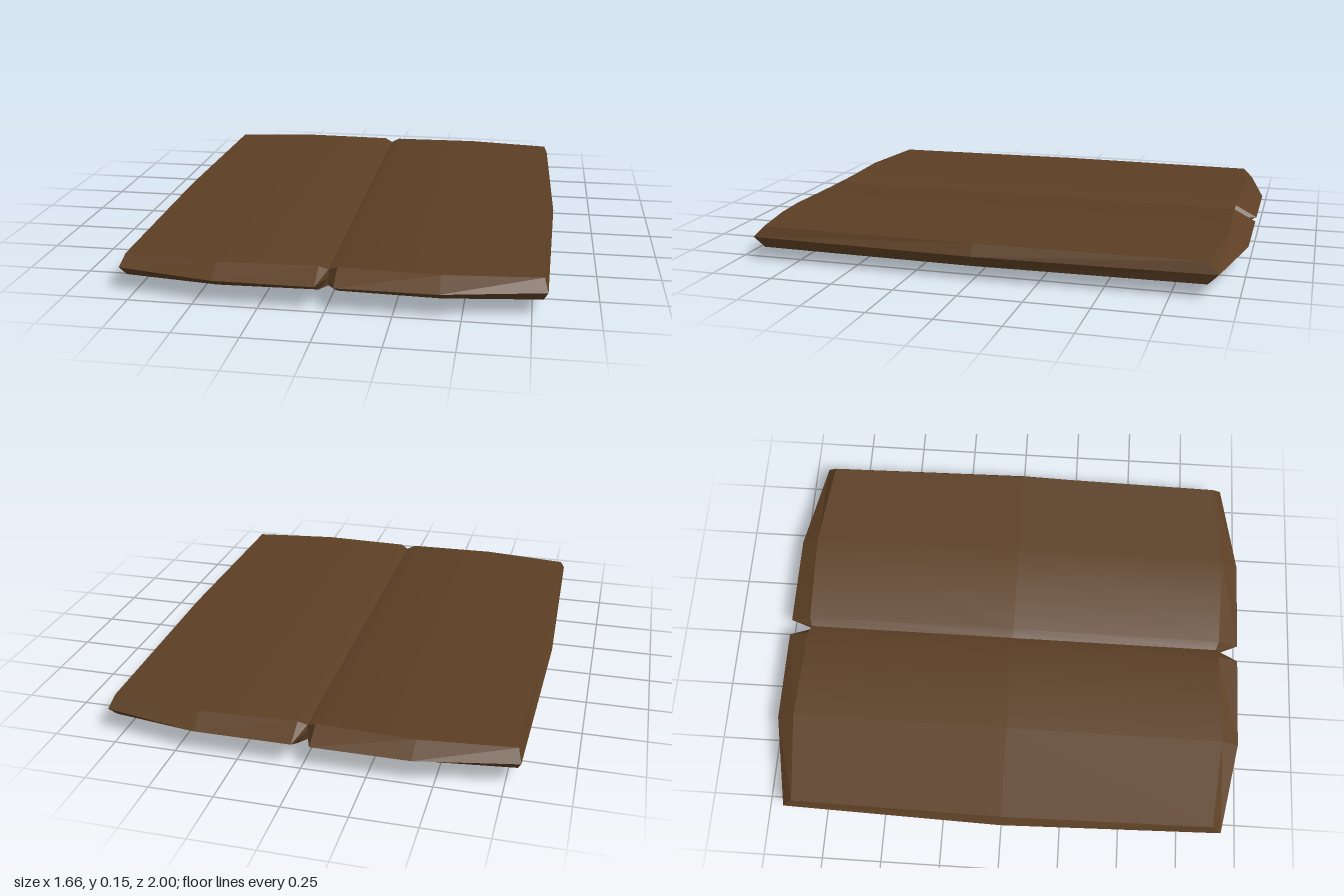
import * as THREE from 'three';

const MID = 0.098;

// Columns across one leaf, from seam to outer edge: x, end z, end height, centre height
const columns = [
  [0, 0.9, 0.031, 0.032],
  [0.035, 0.91, 0.047, 0.05],
  [0.42, 0.925, 0.046, 0.05],
  [0.79, 0.885, 0.043, 0.045],
];

// Widest outline halfway up the leaf, from seam front to seam back
const rim = [
  [0, 0.9], [0.035, 1], [0.42, 1], [0.805, 0.925], [0.83, 0],
  [0.805, -0.925], [0.42, -1], [0.035, -1], [0, -0.9],
];

function buildQuads(quads, side) {
  const pos = [];
  for (const quad of quads) {
    const [a, b, c, d] = side > 0 ? quad : [...quad].reverse();
    for (const p of [a, b, c, a, c, d]) pos.push(p[0] * side, p[1], p[2]);
  }
  const geo = new THREE.BufferGeometry();
  geo.setAttribute('position', new THREE.Float32BufferAttribute(pos, 3));
  geo.computeVertexNormals();
  return geo;
}

// Grid point of the upper (up = 1) or lower (up = -1) skin; row 1 front, 0 centre, -1 back
function skinPoint(col, row, up) {
  const [x, z, endH, midH] = columns[col];
  const bow = row === 0 && col === 3 ? 0.013 : 0;
  return [x + bow, MID + up * (row === 0 ? midH : endH), z * row];
}

function skinGeometry(side, up) {
  const quads = [];
  for (let c = 0; c < 3; c++) {
    for (const row of [1, 0]) {
      const quad = [
        skinPoint(c, row, up), skinPoint(c + 1, row, up),
        skinPoint(c + 1, row - 1, up), skinPoint(c, row - 1, up),
      ];
      quads.push(up > 0 ? quad : quad.reverse());
    }
  }
  const geo = buildQuads(quads, side);
  // Smooth roll of the surface into the seam
  const { position, normal } = geo.attributes;
  for (let i = 0; i < position.count; i++) {
    const x = Math.abs(position.getX(i));
    const tilt = x < 0.01 ? 0.4 : x < 0.1 ? 0.22 : 0;
    const n = new THREE.Vector3(-tilt * side, up, 0).normalize();
    normal.setXYZ(i, n.x, n.y, n.z);
  }
  return geo;
}

// Bevelled border running around the three free edges
function bevelGeometry(side) {
  const path = [[0, 1], [1, 1], [2, 1], [3, 1], [3, 0], [3, -1], [2, -1], [1, -1], [0, -1]];
  const quads = [];
  for (let i = 0; i < path.length - 1; i++) {
    const m0 = [rim[i][0], MID, rim[i][1]];
    const m1 = [rim[i + 1][0], MID, rim[i + 1][1]];
    quads.push([m0, m1, skinPoint(...path[i + 1], 1), skinPoint(...path[i], 1)]);
    quads.push([skinPoint(...path[i], -1), skinPoint(...path[i + 1], -1), m1, m0]);
  }
  return buildQuads(quads, side);
}

export function createModel() {
  const model = new THREE.Group();
  model.name = 'foldingPanel';
  const brown = new THREE.MeshStandardMaterial({ color: 0x5c3f24, side: THREE.DoubleSide });
  brown.name = 'brown leather';
  const grey = new THREE.MeshStandardMaterial({ color: 0x7a8989 });
  grey.name = 'grey metal';

  const add = (parent, name, geo, mat, x = 0, y = 0, z = 0) => {
    const mesh = new THREE.Mesh(geo, mat);
    mesh.name = name;
    mesh.position.set(x, y, z);
    parent.add(mesh);
    return mesh;
  };

  // Two mirrored leaves meeting at the seam
  for (const side of [1, -1]) {
    const leaf = new THREE.Group();
    leaf.name = side > 0 ? 'leftLeaf' : 'rightLeaf';
    add(leaf, 'topSkin', skinGeometry(side, 1), brown);
    add(leaf, 'bottomSkin', skinGeometry(side, -1), brown);
    add(leaf, 'bevelledEdge', bevelGeometry(side), brown);
    model.add(leaf);
  }

  // Small metal clasp under the seam
  const clasp = new THREE.Group();
  clasp.name = 'clasp';
  const box = (name, w, h, d, x, y, z = 0) =>
    add(clasp, name, new THREE.BoxGeometry(w, h, d), grey, x, y, z);
  box('strap', 0.14, 0.025, 0.03, -0.02, 0.032);
  box('anchorPlate', 0.04, 0.03, 0.06, -0.07, 0.036);
  box('staple', 0.018, 0.05, 0.04, -0.044, 0.025);
  box('lockBody', 0.15, 0.036, 0.04, 0.115, 0.024);
  box('lockPlate', 0.03, 0.036, 0.06, 0.172, 0.03);
  box('lockCollar', 0.025, 0.036, 0.055, 0.055, 0.03);
  model.add(clasp);

  return model;
}
